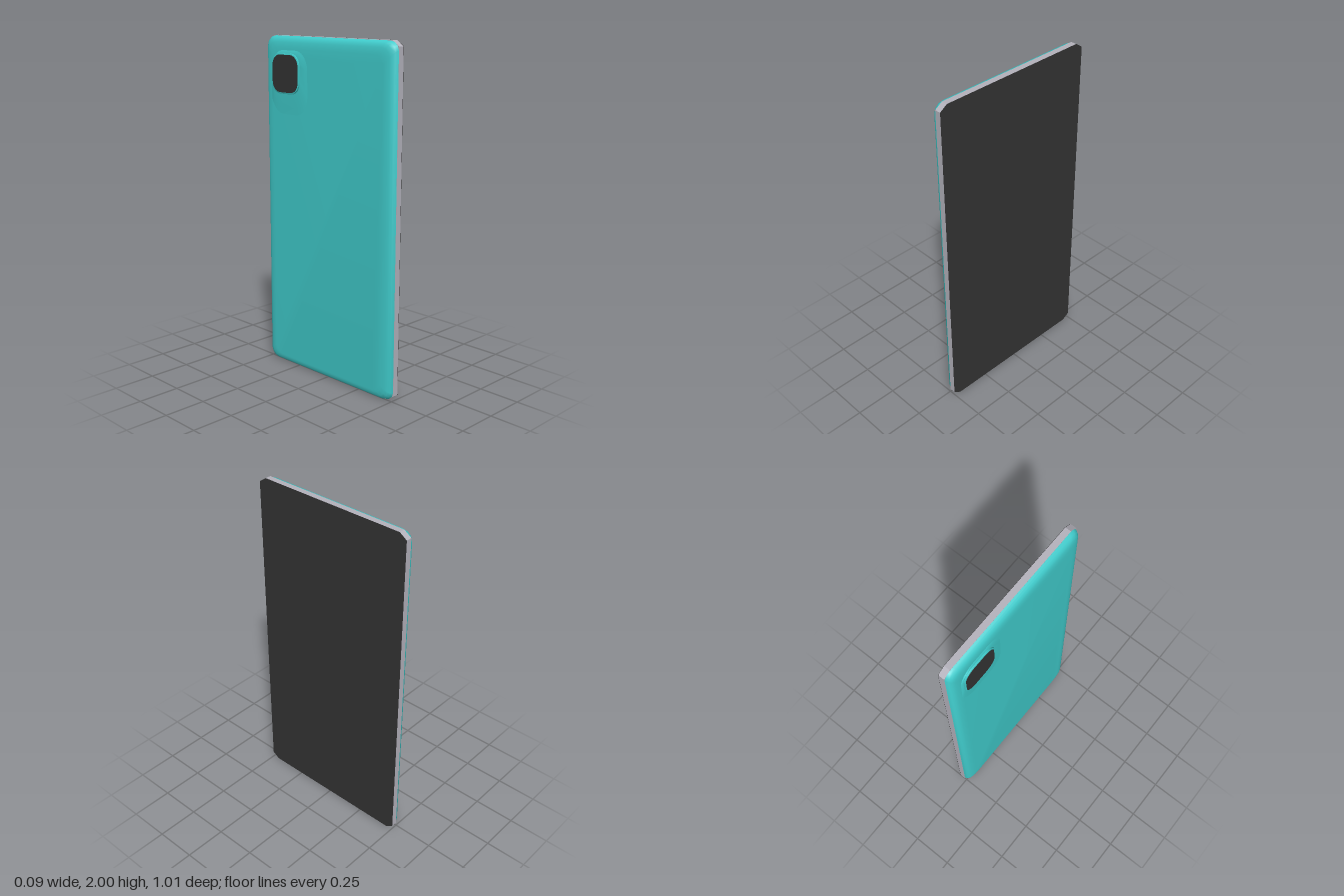
import * as THREE from 'three';
import { toCreasedNormals } from 'three/addons/utils/BufferGeometryUtils.js';

// Rounded (or chamfered, when steps = 1) rectangle in the z-y plane at depth x
function ring(x, z0, z1, y0, y1, rz, ry, steps) {
  const pts = [];
  const corners = [[z1 - rz, y1 - ry], [z0 + rz, y1 - ry], [z0 + rz, y0 + ry], [z1 - rz, y0 + ry]];
  corners.forEach(([cz, cy], q) => {
    for (let i = 0; i <= steps; i++) {
      const a = (q + i / steps) * Math.PI / 2;
      pts.push([x, cy + ry * Math.sin(a), cz + rz * Math.cos(a)]);
    }
  });
  return pts;
}

// Skin over rings ordered from +x to -x, closed at both ends
function loft(rings, crease) {
  const n = rings[0].length, index = [];
  const last = (rings.length - 1) * n;
  for (let k = 0; k < rings.length - 1; k++) {
    for (let i = 0; i < n; i++) {
      const a = k * n + i, b = k * n + (i + 1) % n;
      index.push(a, b, b + n, a, b + n, a + n);
    }
  }
  for (let i = 1; i < n - 1; i++) {
    index.push(0, i + 1, i);
    index.push(last, last + i, last + i + 1);
  }
  const g = new THREE.BufferGeometry();
  g.setAttribute('position', new THREE.Float32BufferAttribute(rings.flat(2), 3));
  g.setIndex(index);
  return toCreasedNormals(g, crease);
}

export function createModel() {
  const group = new THREE.Group();
  const teal = new THREE.MeshStandardMaterial({ color: 0x40cccc });
  const grey = new THREE.MeshStandardMaterial({ color: 0xb4b2bc });
  const black = new THREE.MeshStandardMaterial({ color: 0x333333 });
  const add = (name, rings, material, crease = 0.6) => {
    const mesh = new THREE.Mesh(loft(rings, crease), material);
    mesh.name = name;
    group.add(mesh);
  };

  // Outline of the handset, shrunk by an inset
  const body = (x, inset, r, steps, low = inset) =>
    ring(x, -0.505 + inset, 0.505 - inset, low, 2 - inset, r[0], r[1], steps);
  const chamfer = [0.045, 0.03];

  // Screen and metal frame with clipped corners
  add('screen', [body(0.045, 0, chamfer, 1), body(0.0435, 0, chamfer, 1)], black, 0.2);
  add('frame', [body(0.0435, 0, chamfer, 1), body(0.008, 0, chamfer, 1)], grey, 0.2);

  // Back shell curving in towards its flat face
  const shell = [[0.008, 0.001], [0, 0.003], [-0.01, 0.008], [-0.02, 0.019], [-0.026, 0.036], [-0.029, 0.06], [-0.03, 0.075]];
  add('backShell', shell.map(([x, d]) => body(x, d, [0.06, 0.05], 3, d * 0.6)), teal);

  // Shallow swelling of the shell around the camera
  add('cameraSwell', [
    ring(-0.028, -0.445, -0.12, 1.5, 1.925, 0.1, 0.12, 6),
    ring(-0.0315, -0.438, -0.16, 1.59, 1.915, 0.09, 0.1, 6),
    ring(-0.036, -0.43, -0.195, 1.665, 1.905, 0.07, 0.07, 6),
  ], teal);

  // Camera housing and its dark glass
  const camera = (x, d) => ring(x, -0.428 + d, -0.2 - d, 1.67 + d, 1.902 - d, 0.07 - d, 0.07 - d, 6);
  add('cameraHousing', [camera(-0.034, 0), camera(-0.043, 0), camera(-0.0445, 0.004)], teal);
  add('cameraGlass', [camera(-0.044, 0.008), camera(-0.0455, 0.008)], black);

  return group;
}
